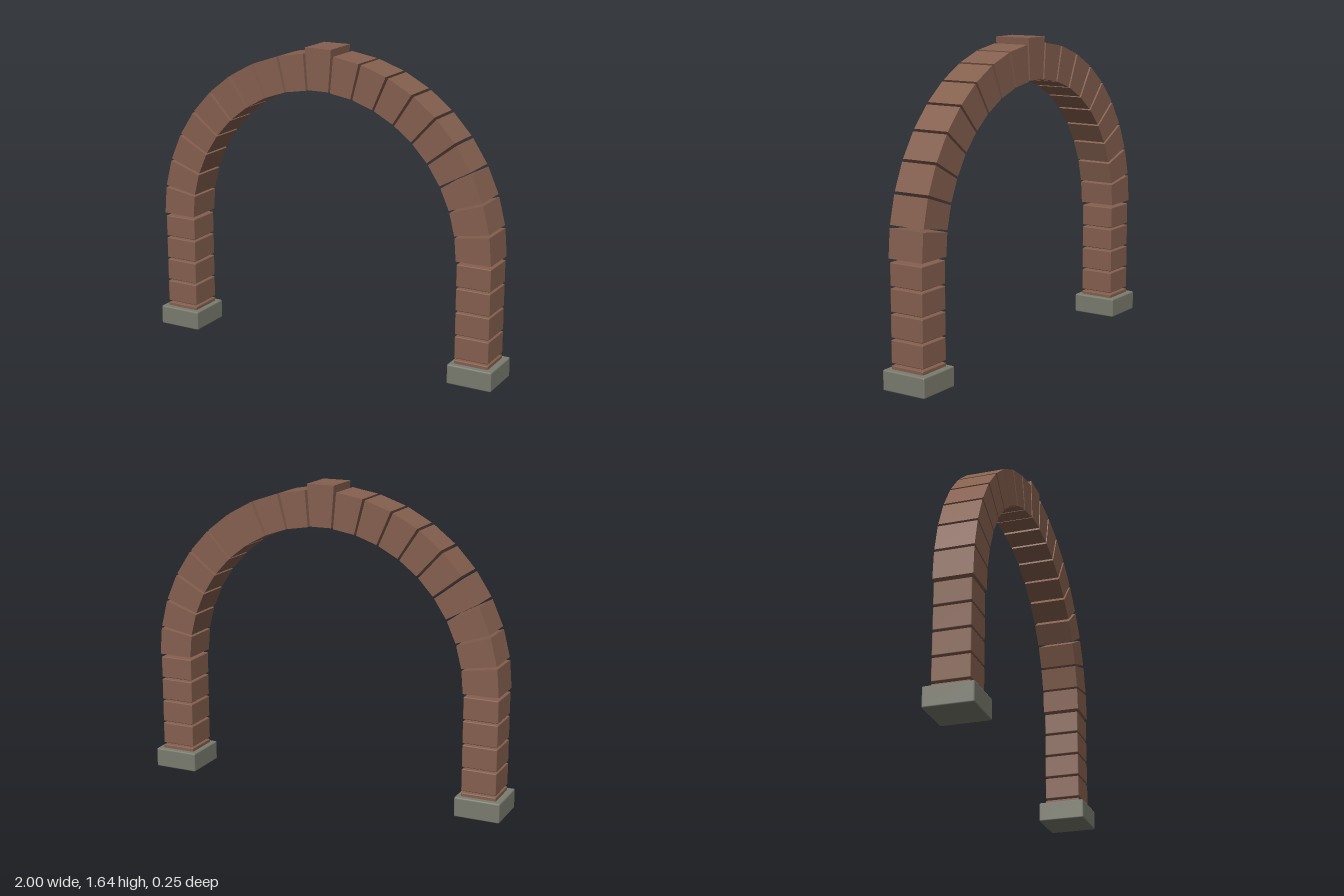
import * as THREE from 'three';
import { RoundedBoxGeometry } from 'three/addons/geometries/RoundedBoxGeometry.js';

const SPRING_Y = 0.64, INNER_R = 0.782, OUTER_R = 0.97, DEPTH = 0.2;
const COUNT = 19, STEP = Math.PI / COUNT;
const HALF = STEP * 0.455; // half angle of one block, leaving an open joint

// Wedge block pointing up from the arch centre, cut between two radii
function wedgeGeometry(inner, outer) {
  const s = Math.sin(HALF), c = Math.cos(HALF);
  const shape = new THREE.Shape([
    new THREE.Vector2(-inner * s, inner * c),
    new THREE.Vector2(inner * s, inner * c),
    new THREE.Vector2(outer * s, outer * c),
    new THREE.Vector2(-outer * s, outer * c),
  ]);
  const geometry = new THREE.ExtrudeGeometry(shape, { depth: DEPTH, bevelEnabled: false });
  return geometry.translate(0, 0, -DEPTH / 2);
}

export function createModel() {
  const brick = new THREE.MeshStandardMaterial({ color: 0x85604f });
  brick.name = 'brick';
  const stone = new THREE.MeshStandardMaterial({ color: 0x7c7d70 });
  stone.name = 'stone';

  const model = new THREE.Group();
  model.name = 'archway';

  // Ring of wedge blocks with a taller keystone at the crown
  const ring = new THREE.Group();
  ring.name = 'archRing';
  ring.position.y = SPRING_Y;
  const wedge = wedgeGeometry(INNER_R, OUTER_R);
  const keystone = wedgeGeometry(INNER_R + 0.003, 1.003);
  const middle = (COUNT - 1) / 2;
  for (let i = 0; i < COUNT; i++) {
    const block = new THREE.Mesh(i === middle ? keystone : wedge, brick);
    block.name = i === middle ? 'keystone' : 'archBlock';
    block.rotation.z = (middle - i) * STEP;
    ring.add(block);
  }
  model.add(ring);

  // Two piers: five stacked blocks, the lowest sunk into a stone footing
  const pierBlock = new RoundedBoxGeometry(0.185, 0.117, 0.19, 1, 0.005);
  const footing = new RoundedBoxGeometry(0.243, 0.105, 0.25, 1, 0.008);
  for (const side of [-1, 1]) {
    const pier = new THREE.Group();
    pier.name = side > 0 ? 'leftPier' : 'rightPier';
    for (let i = 0; i < 5; i++) {
      const block = new THREE.Mesh(pierBlock, brick);
      block.name = 'pierBlock';
      block.position.set(side * 0.876, 0.065 + i * 0.1265, 0);
      pier.add(block);
    }
    const base = new THREE.Mesh(footing, stone);
    base.name = 'footing';
    base.position.set(side * 0.8785, 0.0525, 0);
    pier.add(base);
    model.add(pier);
  }
  return model;
}
